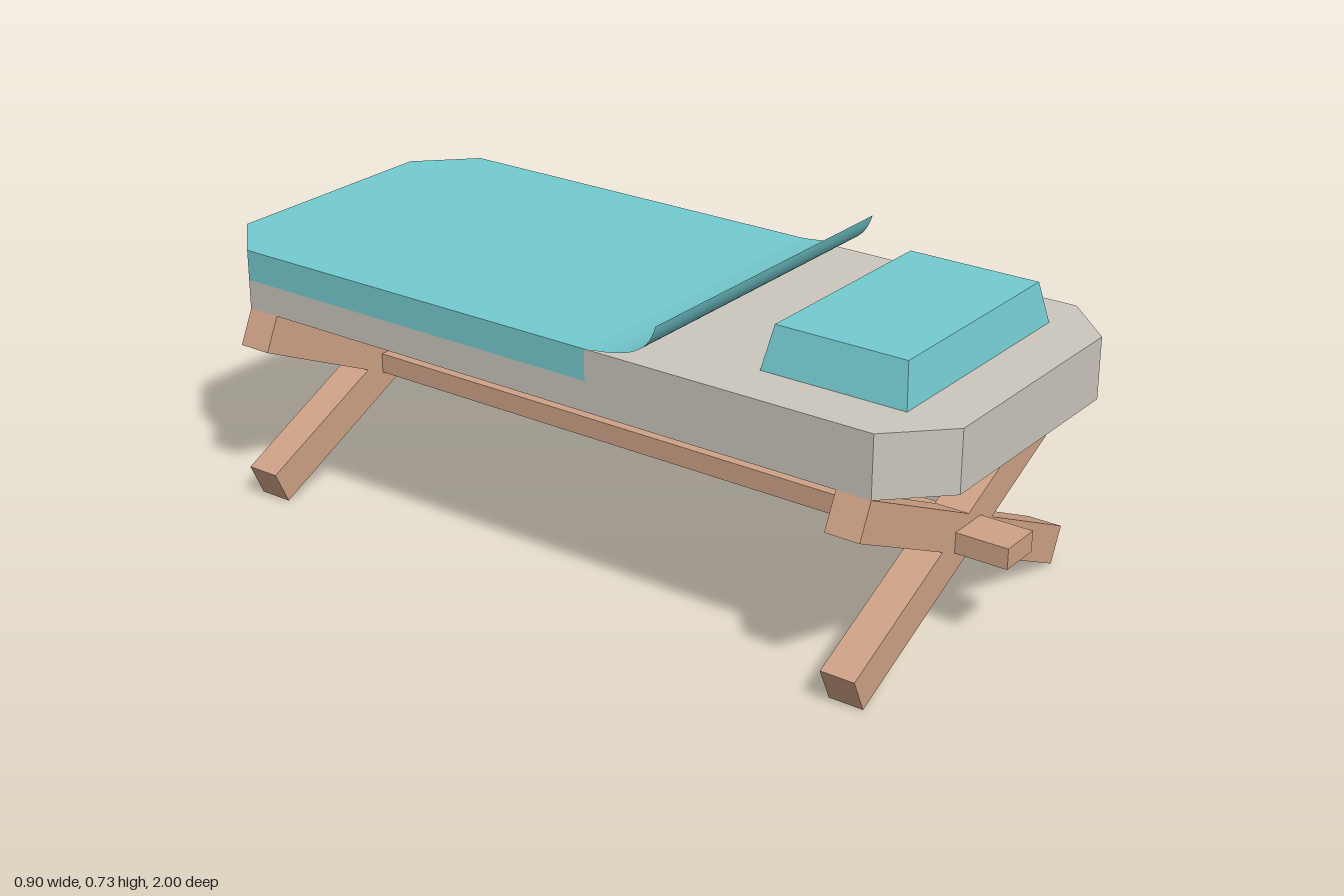
import * as THREE from 'three';

const teal = new THREE.MeshStandardMaterial({ color: 0x74cbd0, side: THREE.DoubleSide });
teal.name = 'tealCloth';
const grey = new THREE.MeshStandardMaterial({ color: 0xcbc7be });
grey.name = 'mattressGrey';
const wood = new THREE.MeshStandardMaterial({ color: 0xcea286 });
wood.name = 'wood';

const X0 = -0.41, X1 = 0.445, CUT = 0.13; // bed sides and corner cut
const Y0 = 0.487, Y1 = 0.56, Y2 = 0.635; // underside, blanket hem, top
const FOLD = 0.14; // where the blanket lifts off the mattress

function add(parent, name, geometry, material) {
  const mesh = new THREE.Mesh(geometry, material);
  mesh.name = name;
  parent.add(mesh);
  return mesh;
}

// Upright slab from an [x, z] outline
function slab(outline, y0, y1) {
  const shape = new THREE.Shape(outline.map(([x, z]) => new THREE.Vector2(x, -z)));
  return new THREE.ExtrudeGeometry(shape, { depth: y1 - y0, bevelEnabled: false })
    .rotateX(-Math.PI / 2)
    .translate(0, y0, 0);
}

// Cut-cornered end of the bed, from z = start to z = end
function endOutline(start, end) {
  const shoulder = end - Math.sign(end) * CUT;
  return [[X0, start], [X0, shoulder], [X0 + CUT, end], [X1 - CUT, end], [X1, shoulder], [X1, start]];
}

// Box whose top is narrower than its base
function pillowGeometry() {
  const g = new THREE.BoxGeometry(0.6, 0.1, 0.36);
  const p = g.attributes.position;
  for (let i = 0; i < p.count; i++) {
    if (p.getY(i) > 0) p.setXYZ(i, p.getX(i) * 0.91, p.getY(i), p.getZ(i) * 0.905);
  }
  g.computeVertexNormals();
  return g.translate(0.02, Y2 + 0.05, 0.688);
}

// Thin sheet sweeping up from the mattress
function curlGeometry() {
  const curve = new THREE.CubicBezierCurve(
    new THREE.Vector2(FOLD, Y2), new THREE.Vector2(0.25, 0.645),
    new THREE.Vector2(0.31, 0.66), new THREE.Vector2(0.33, 0.733));
  const g = new THREE.PlaneGeometry(X1 - X0, 1, 1, 16);
  const p = g.attributes.position;
  for (let i = 0; i < p.count; i++) {
    const c = curve.getPoint(0.5 - p.getY(i));
    p.setXYZ(i, p.getX(i) + (X0 + X1) / 2, c.y, c.x);
  }
  g.computeVertexNormals();
  return g;
}

export function createModel() {
  const bed = new THREE.Group();
  bed.name = 'campBed';

  // Mattress and bedding
  const full = [...endOutline(0, -1), ...endOutline(0, 1).reverse()]
    .filter(([, z]) => z !== 0);
  add(bed, 'mattressBase', slab(full, Y0, Y1), grey);
  add(bed, 'mattressHeadEnd', slab(endOutline(FOLD, 1), Y1, Y2), grey);
  add(bed, 'blanket', slab(endOutline(FOLD, -1), Y1, Y2), teal);
  add(bed, 'blanketFold', curlGeometry(), teal);
  add(bed, 'pillow', pillowGeometry(), teal);

  // Crossed legs at each end
  for (const [end, z] of [['head', 0.8275], ['foot', -0.8275]]) {
    const legs = new THREE.Group();
    legs.name = end + 'Legs';
    legs.position.set(0, 0.244, z);
    for (const s of [-1, 1]) {
      const leg = add(legs, 'crossLeg', new THREE.BoxGeometry(0.948, 0.091, 0.085), wood);
      leg.rotation.z = s * 0.441;
    }
    bed.add(legs);
  }

  // Long bar joining the crossings
  add(bed, 'stretcher', new THREE.BoxGeometry(0.107, 0.05, 1.99), wood).position.set(0, 0.245, 0.004);

  return bed;
}
